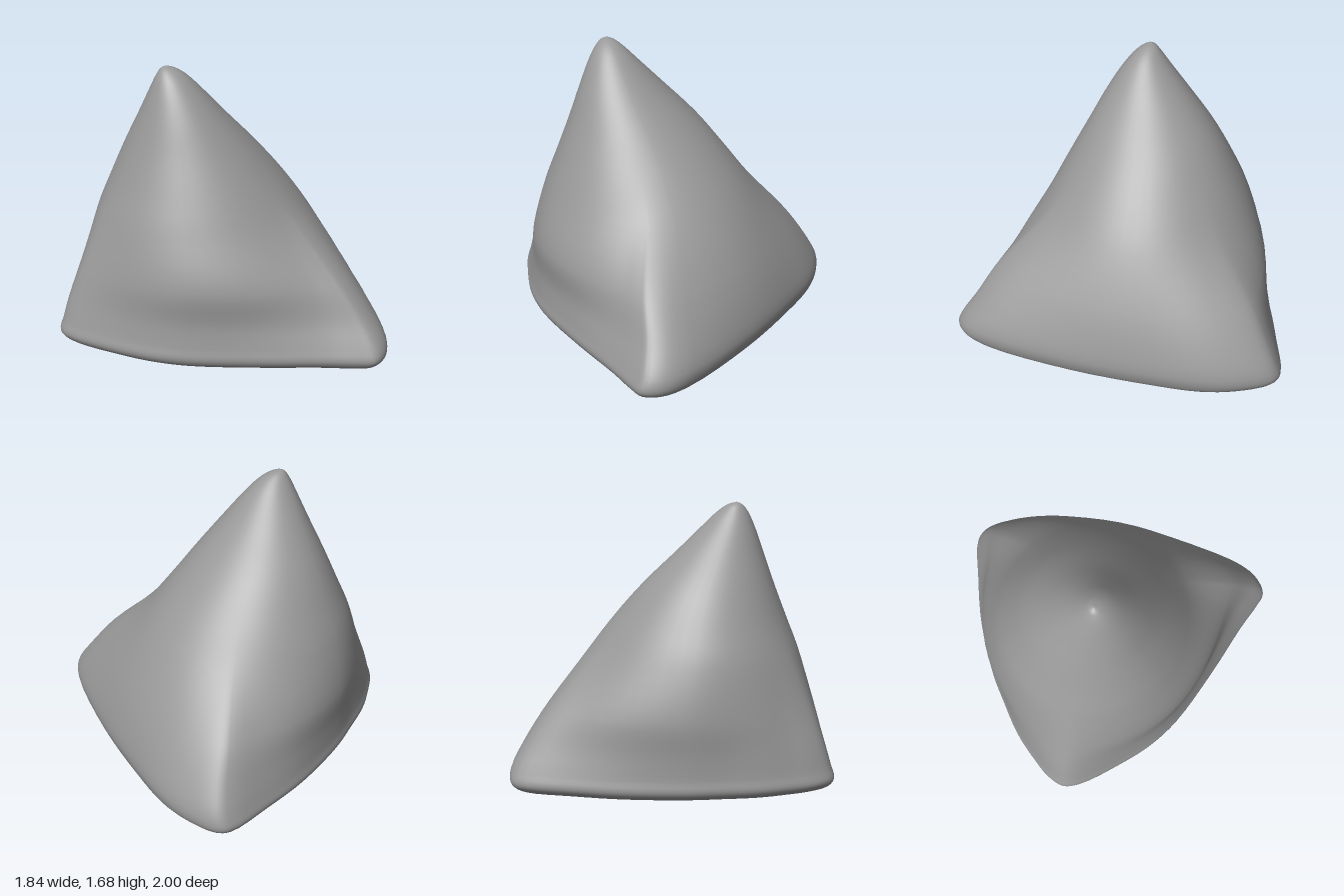
import * as THREE from 'three';
import { mergeVertices } from 'three/addons/utils/BufferGeometryUtils.js';

// Rounded three-cornered outline (x, z) of the base, clockwise seen from above
const OUTLINE = [
  [-0.92, 0.05], [-0.885, -0.06], [-0.8, -0.18], [-0.67, -0.33], [-0.5, -0.47], [-0.33, -0.6],
  [0, -0.79], [0.3, -0.91], [0.58, -1], [0.66, -0.97], [0.77, -0.8], [0.84, -0.6],
  [0.88, -0.3], [0.91, 0.2], [0.88, 0.76], [0.82, 0.93], [0.73, 1], [0.64, 0.98],
  [0.45, 0.91], [0.1, 0.8], [-0.3, 0.65], [-0.5, 0.53], [-0.67, 0.38], [-0.88, 0.15],
];

// Extents of the cross-section at each height: y, min x, max x, min z, max z
const LEVELS = [
  [0, 0.1, 0.1, 0, 0],
  [0.01, -0.4, 0.55, -0.6, 0.65],
  [0.022, -0.74, 0.79, -0.86, 0.89],
  [0.045, -0.88, 0.88, -0.96, 0.97],
  [0.09, -0.92, 0.905, -1, 1],
  [0.16, -0.9, 0.915, -0.98, 0.975],
  [0.3, -0.855, 0.88, -0.905, 0.885],
  [0.5, -0.775, 0.8, -0.79, 0.765],
  [0.8, -0.65, 0.63, -0.62, 0.605],
  [1.0, -0.56, 0.48, -0.51, 0.51],
  [1.2, -0.48, 0.3, -0.38, 0.41],
  [1.4, -0.4, 0.1, -0.21, 0.31],
  [1.55, -0.343, -0.045, -0.075, 0.222],
  [1.63, -0.308, -0.13, -0.005, 0.16],
  [1.67, -0.28, -0.195, 0.035, 0.11],
  [1.685, -0.25, -0.25, 0.07, 0.07],
];

const AROUND = 96;
const ALONG = (LEVELS.length - 1) * 4;

// Cross-section of one level: three-cornered at the base, oval higher up
function crossSection(base, [y, x0, x1, z0, z1]) {
  const roundness = THREE.MathUtils.smoothstep(y, 0.05, 1);
  const points = base.map((p) => {
    const angle = Math.atan2(p.z, p.x);
    const oval = new THREE.Vector3(Math.cos(angle), 0, Math.sin(angle));
    return p.clone().lerp(oval, roundness);
  });
  // Fit the blended section to the extents of its level
  const box = new THREE.Box3().setFromPoints(points);
  return points.map((p) => new THREE.Vector3(
    THREE.MathUtils.mapLinear(p.x, box.min.x, box.max.x, x0, x1),
    y,
    THREE.MathUtils.mapLinear(p.z, box.min.z, box.max.z, z0, z1)));
}

function bodyGeometry() {
  const outline = new THREE.CatmullRomCurve3(
    OUTLINE.map(([x, z]) => new THREE.Vector3(x / 0.915, 0, z)), true);
  const base = Array.from({ length: AROUND }, (_, i) => outline.getPoint(i / AROUND));
  const sections = LEVELS.map((level) => crossSection(base, level));

  // Smooth meridians from the middle of the underside to the tip
  const positions = [], index = [], row = ALONG + 1;
  for (let i = 0; i < AROUND; i++) {
    const meridian = new THREE.CatmullRomCurve3(sections.map((s) => s[i]));
    for (let j = 0; j <= ALONG; j++) positions.push(...meridian.getPoint(j / ALONG).toArray());

    // Skin to the next meridian, single triangles at both poles
    const a = i * row, b = ((i + 1) % AROUND) * row;
    for (let j = 0; j < ALONG; j++) {
      if (j < ALONG - 1) index.push(a + j, a + j + 1, b + j + 1);
      if (j > 0) index.push(a + j, b + j + 1, b + j);
    }
  }
  const geometry = new THREE.BufferGeometry();
  geometry.setAttribute('position', new THREE.Float32BufferAttribute(positions, 3));
  geometry.setIndex(index);
  const welded = mergeVertices(geometry, 1e-5);
  welded.computeVertexNormals();
  return welded;
}

export function createModel() {
  const body = new THREE.Mesh(bodyGeometry(), new THREE.MeshStandardMaterial({ color: 0x999999 }));
  body.name = 'roundedTetrahedron';
  const group = new THREE.Group();
  group.name = 'roundedPyramid';
  group.add(body);
  return group;
}
